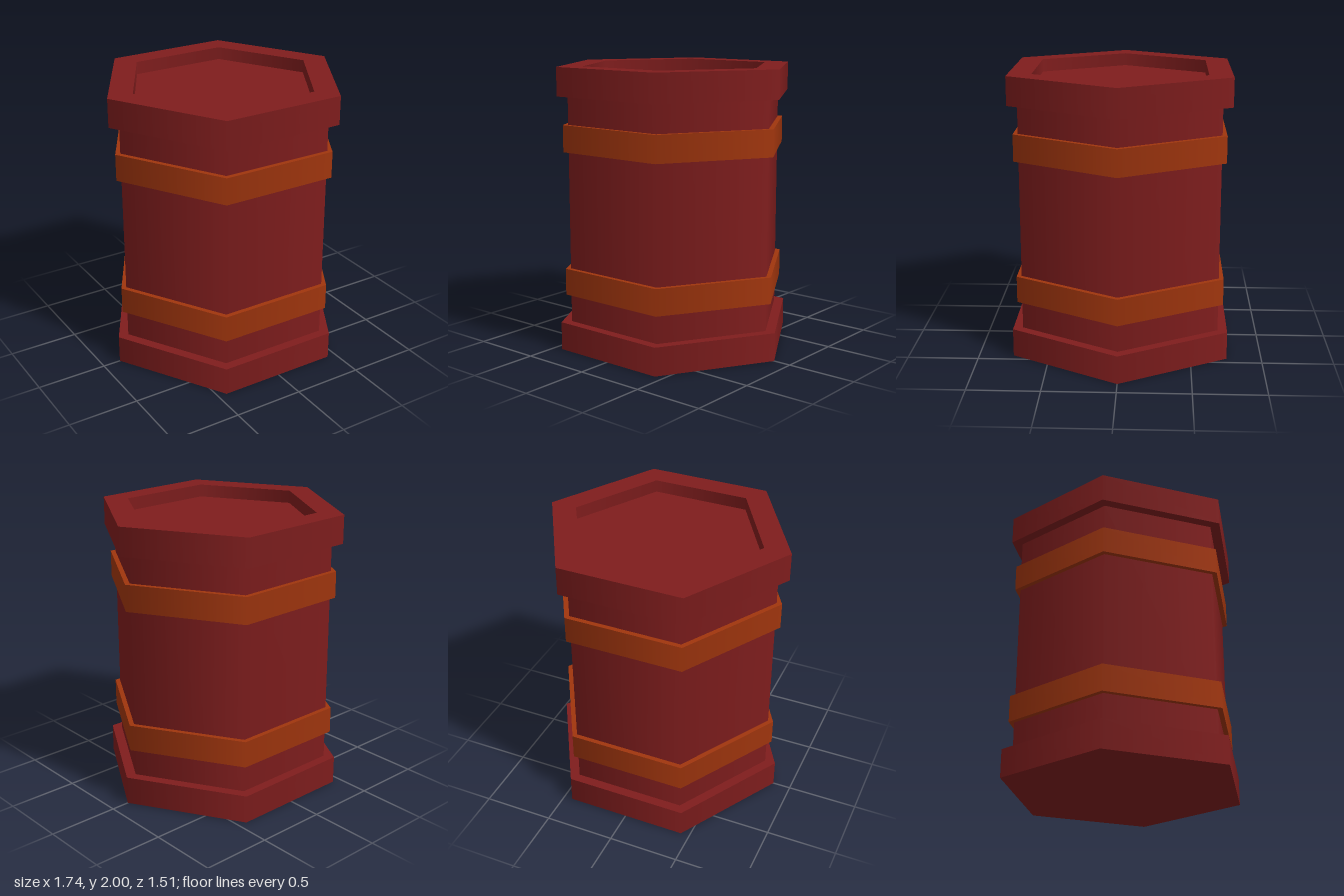
import * as THREE from 'three';
import { mergeGeometries } from 'three/addons/utils/BufferGeometryUtils.js';

const red = new THREE.MeshStandardMaterial({ color: 0x7f1d1d });
const orange = new THREE.MeshStandardMaterial({ color: 0xa0350d });

// Six-sided turned solid: sides shade smoothly around, profile corners stay sharp.
// The profile is a list of [radius, height], running up the outside.
function hexTurned(name, profile, material) {
  const strips = [];
  for (let i = 0; i < profile.length - 1; i++) {
    const ends = [profile[i], profile[i + 1]].map(([r, y]) => new THREE.Vector2(r, y));
    strips.push(new THREE.LatheGeometry(ends, 6, Math.PI / 6, Math.PI * 2));
  }
  const mesh = new THREE.Mesh(mergeGeometries(strips), material);
  mesh.name = name;
  return mesh;
}

export function createModel() {
  const group = new THREE.Group();
  group.name = 'hexBarrel';

  const rimR = 0.872, bodyR = 0.795, bandR = 0.833, recessR = 0.685;

  // Solid foot
  group.add(hexTurned('foot', [[0, 0], [rimR, 0], [rimR, 0.2], [0, 0.2]], red));

  // Barrel wall between foot and lid
  group.add(hexTurned('body', [[bodyR, 0.2], [bodyR, 1.8]], red));

  // Lid with a shallow recess in its top
  group.add(hexTurned('lid',
    [[0, 1.8], [rimR, 1.8], [rimR, 2], [recessR, 2], [recessR, 1.91], [0, 1.91]], red));

  // Two hoops around the body
  for (const [name, y] of [['lowerBand', 0.4], ['upperBand', 1.415]]) {
    const top = y + 0.188;
    group.add(hexTurned(name, [[bodyR, y], [bandR, y], [bandR, top], [bodyR, top]], orange));
  }
  return group;
}
